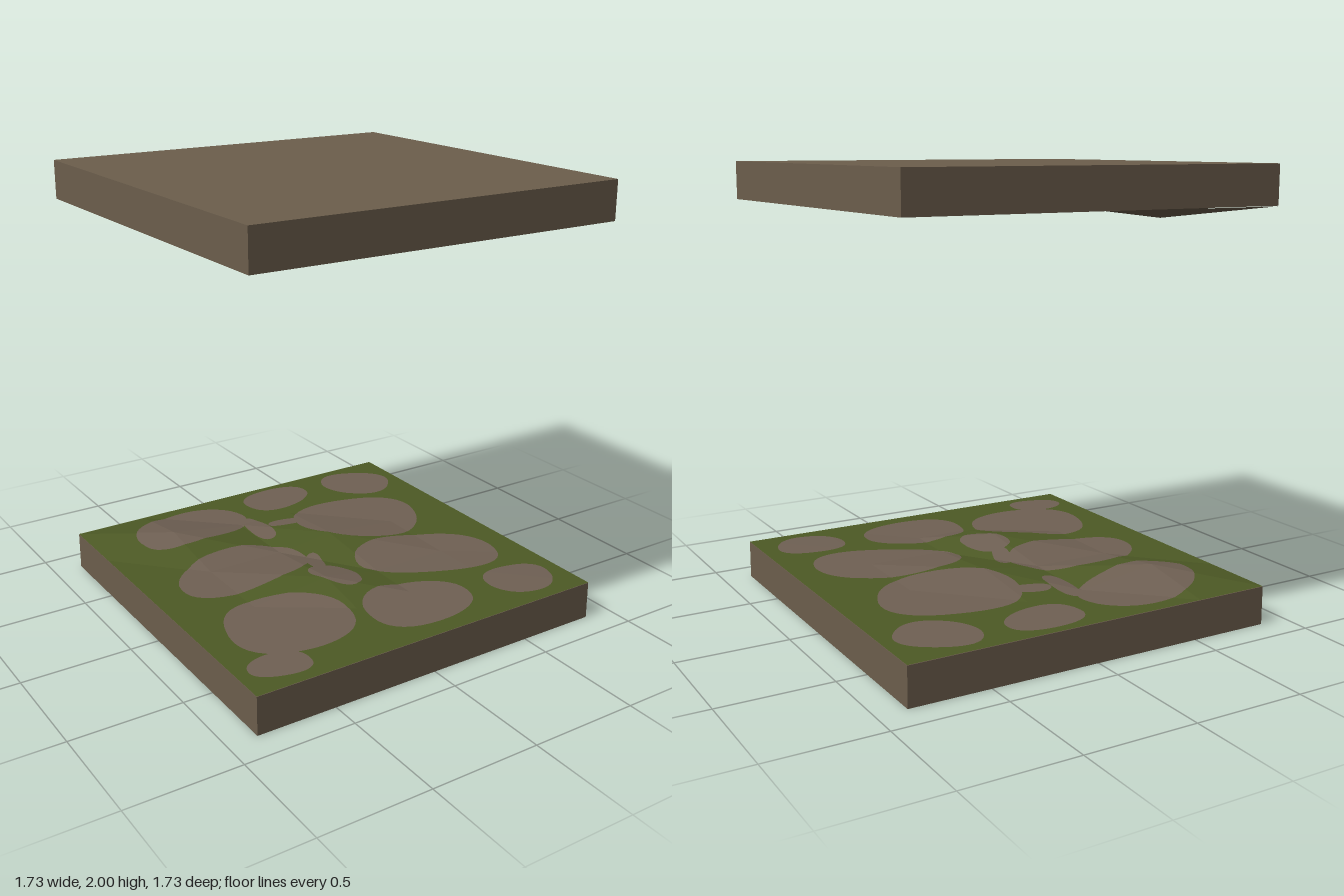
import * as THREE from 'three';

const HALF = 0.866, BASE = 0.175, HEIGHT = 2;

// Uneven grid shared by the floor and ceiling surfaces
const gridX = [-HALF, -0.52, -0.15, 0.13, 0.5, HALF];
const gridZ = [-HALF, -0.52, -0.15, 0.25, 0.5, HALF];
const rises = { '1,1': 0.055, '2,3': 0.046, '3,2': 0.037, '4,4': 0.003 };

// Bare patches: centre x, centre z, half length, half width, turn
const patches = [
  [-0.39, -0.6, 0.3, 0.19, -0.2],
  [0.165, -0.71, 0.18, 0.12, -0.1],
  [0.63, -0.655, 0.18, 0.14, 0.6],
  [-0.39, -0.08, 0.32, 0.2, -0.05],
  [-0.47, 0.45, 0.28, 0.235, 0.3],
  [0.38, -0.27, 0.31, 0.25, 0.3],
  [0.43, 0.235, 0.34, 0.2, 0.4],
  [0.1, 0.6, 0.25, 0.185, 0.1],
  [0.63, 0.665, 0.16, 0.13, 0.2],
  [-0.67, 0.715, 0.135, 0.09, 0.2],
  // small patches that join neighbours
  [-0.08, 0.22, 0.13, 0.09, 1.2],
  [-0.07, 0.04, 0.1, 0.04, 1.9],
  [-0.1, -0.43, 0.14, 0.05, 1.6],
  [0.05, -0.41, 0.1, 0.04, 0.25],
];

// Upward-facing triangles of the bumpy surface
function surfaceTriangles() {
  const point = (i, k) =>
    new THREE.Vector3(gridX[i], BASE + (rises[`${i},${k}`] || 0), gridZ[k]);
  const triangles = [];
  for (let i = 0; i < 5; i++) {
    for (let k = 0; k < 5; k++) {
      const a = point(i, k), b = point(i, k + 1), c = point(i + 1, k + 1), d = point(i + 1, k);
      triangles.push([a, b, c], [a, c, d]);
    }
  }
  return triangles;
}

function geometryFrom(triangles) {
  const geometry = new THREE.BufferGeometry().setFromPoints(triangles.flat());
  geometry.computeVertexNormals();
  return geometry;
}

// Slightly squared, wavy oval seen in plan
function patchOutline([x, z, length, width, turn], index) {
  const full = (v) => Math.sign(v) * Math.abs(v) ** 0.88;
  return Array.from({ length: 40 }, (_, n) => {
    const t = (n / 40) * Math.PI * 2;
    const wave = 1 + 0.04 * Math.sin(3 * t + index * 2);
    const u = full(Math.cos(t)) * length * wave, v = full(Math.sin(t)) * width * wave;
    return new THREE.Vector3(
      x + u * Math.cos(turn) - v * Math.sin(turn), 0, z + u * Math.sin(turn) + v * Math.cos(turn));
  });
}

// Positive when r lies on the inner side of the edge from p to q, seen from above
const side = (p, q, r) => (q.z - p.z) * (r.x - p.x) - (q.x - p.x) * (r.z - p.z);

// Cut a plan outline down to one surface triangle
function clip(outline, triangle) {
  let points = outline;
  for (let e = 0; e < 3; e++) {
    const p = triangle[e], q = triangle[(e + 1) % 3], kept = [];
    points.forEach((to, n) => {
      const from = points[(n + points.length - 1) % points.length];
      const s = side(p, q, from), t = side(p, q, to);
      if ((s >= 0) !== (t >= 0)) kept.push(from.clone().lerp(to, s / (s - t)));
      if (t >= 0) kept.push(to);
    });
    points = kept;
  }
  return points;
}

// Drape an outline over the surface, just above it
function drape(outline, surface) {
  const result = [];
  for (const triangle of surface) {
    const points = clip(outline, triangle);
    if (points.length < 3) continue;
    const { normal, constant } = new THREE.Plane().setFromCoplanarPoints(...triangle);
    const lifted = points.map((p) => new THREE.Vector3(
      p.x, -(normal.x * p.x + normal.z * p.z + constant) / normal.y + 0.003, p.z));
    const contour = points.map((p) => new THREE.Vector2(p.x, p.z));
    for (const [a, b, c] of THREE.ShapeUtils.triangulateShape(contour, [])) {
      const area = side(points[a], points[b], points[c]);
      if (Math.abs(area) < 1e-9) continue;
      result.push(area > 0 ? [lifted[a], lifted[b], lifted[c]] : [lifted[a], lifted[c], lifted[b]]);
    }
  }
  return geometryFrom(result);
}

export function createModel() {
  const material = (name, color) => {
    const m = new THREE.MeshStandardMaterial({ color });
    m.name = name;
    return m;
  };
  const earth = material('earth brown', 0x6c5e4c);
  const grass = material('moss green', 0x4d5a25);
  const stone = material('stone brown', 0x6f6053);

  const model = new THREE.Group();
  model.name = 'floorAndCeiling';
  const add = (parent, name, geometry, mat) => {
    const mesh = new THREE.Mesh(geometry, mat);
    mesh.name = name;
    parent.add(mesh);
    return mesh;
  };
  const surface = surfaceTriangles();
  const thickness = BASE - 0.002;
  const slab = new THREE.BoxGeometry(2 * HALF, thickness, 2 * HALF);

  // Floor: slab, mossy ground and bare stone patches
  const floor = new THREE.Group();
  floor.name = 'floor';
  add(floor, 'floorSlab', slab, earth).position.y = thickness / 2;
  add(floor, 'mossyGround', geometryFrom(surface), grass);
  patches.forEach((patch, index) =>
    add(floor, 'stonePatch', drape(patchOutline(patch, index), surface), stone));

  // Ceiling: slab with the same bumps hanging down
  const ceiling = new THREE.Group();
  ceiling.name = 'ceiling';
  add(ceiling, 'ceilingSlab', slab, earth).position.y = HEIGHT - thickness / 2;
  const hanging = surface.map((t) =>
    [t[0], t[2], t[1]].map((p) => new THREE.Vector3(p.x, HEIGHT - p.y, p.z)));
  add(ceiling, 'ceilingUnderside', geometryFrom(hanging), earth);

  model.add(floor, ceiling);
  return model;
}
